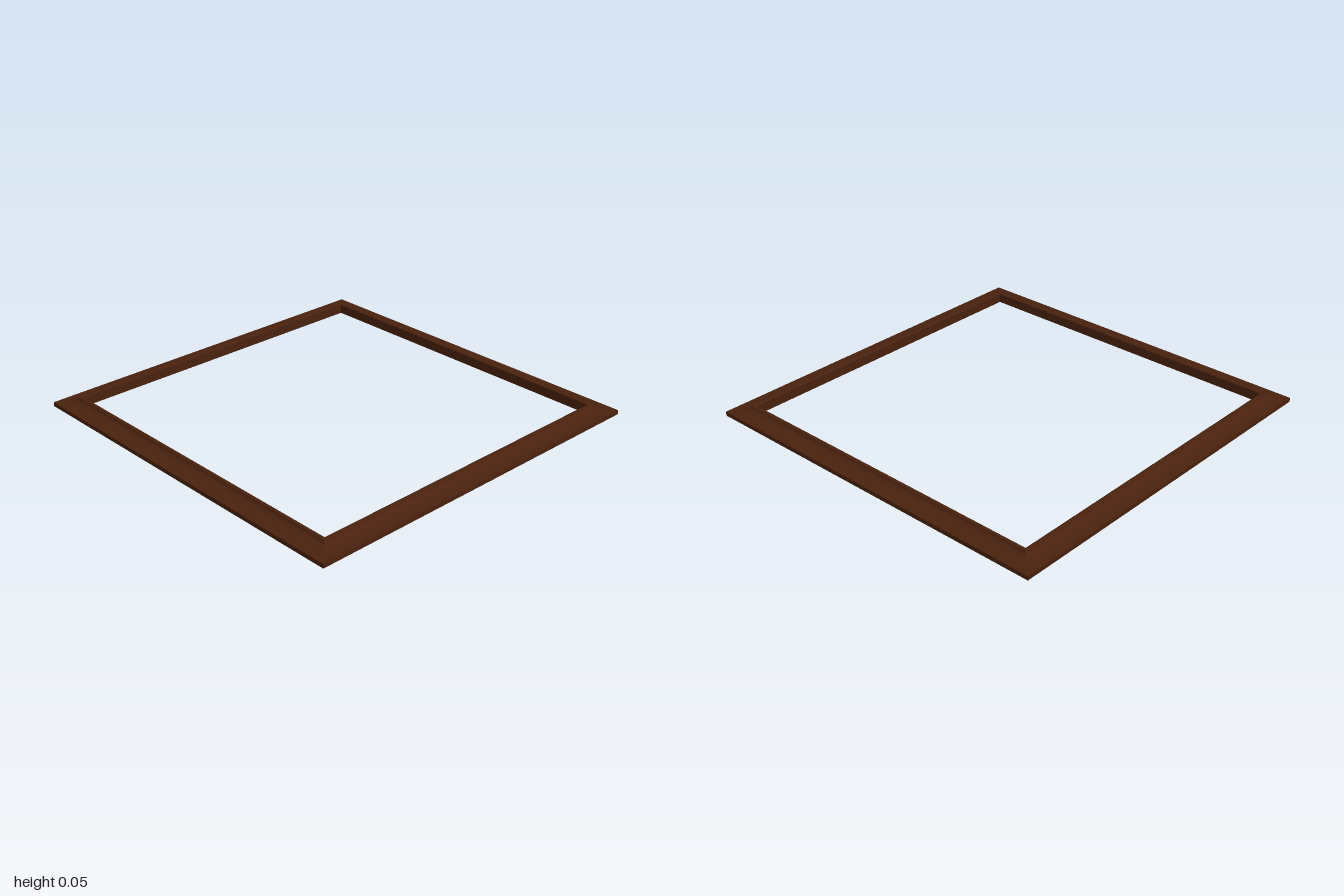
import * as THREE from 'three';
import { toCreasedNormals } from 'three/addons/utils/BufferGeometryUtils.js';

// Moulding cross-section: distance from the centre, height
function mouldingProfile() {
  const points = [[1, 0], [1, 0.022]];
  const steps = 8;
  // concave cove between the outer lip and the raised inner edge
  for (let i = 0; i <= steps; i++) {
    const t = (i / steps) * Math.PI / 2;
    points.push([0.985 - 0.073 * Math.sin(t), 0.05 - 0.027 * Math.cos(t)]);
  }
  // narrow raised bead, then the inner wall
  points.push([0.909, 0.055], [0.897, 0.055], [0.89, 0.051], [0.89, 0]);
  return points;
}

// One side of the frame, mitred at both ends
function railGeometry(profile) {
  const positions = [];
  profile.forEach(([r0, y0], i) => {
    const [r1, y1] = profile[(i + 1) % profile.length];
    const a = [-r0, y0, r0], b = [r0, y0, r0];
    const c = [r1, y1, r1], d = [-r1, y1, r1];
    positions.push(...a, ...b, ...c, ...a, ...c, ...d);
  });
  const geometry = new THREE.BufferGeometry();
  geometry.setAttribute('position', new THREE.Float32BufferAttribute(positions, 3));
  return toCreasedNormals(geometry, 0.5);
}

export function createModel() {
  const group = new THREE.Group();
  group.name = 'squareFrame';
  const wood = new THREE.MeshStandardMaterial({ color: 0x4a220e });
  wood.name = 'darkWood';

  // Four identical rails turned around the centre
  const geometry = railGeometry(mouldingProfile());
  ['frontRail', 'leftRail', 'backRail', 'rightRail'].forEach((name, i) => {
    const rail = new THREE.Mesh(geometry, wood);
    rail.name = name;
    rail.rotation.y = i * Math.PI / 2;
    group.add(rail);
  });
  return group;
}
